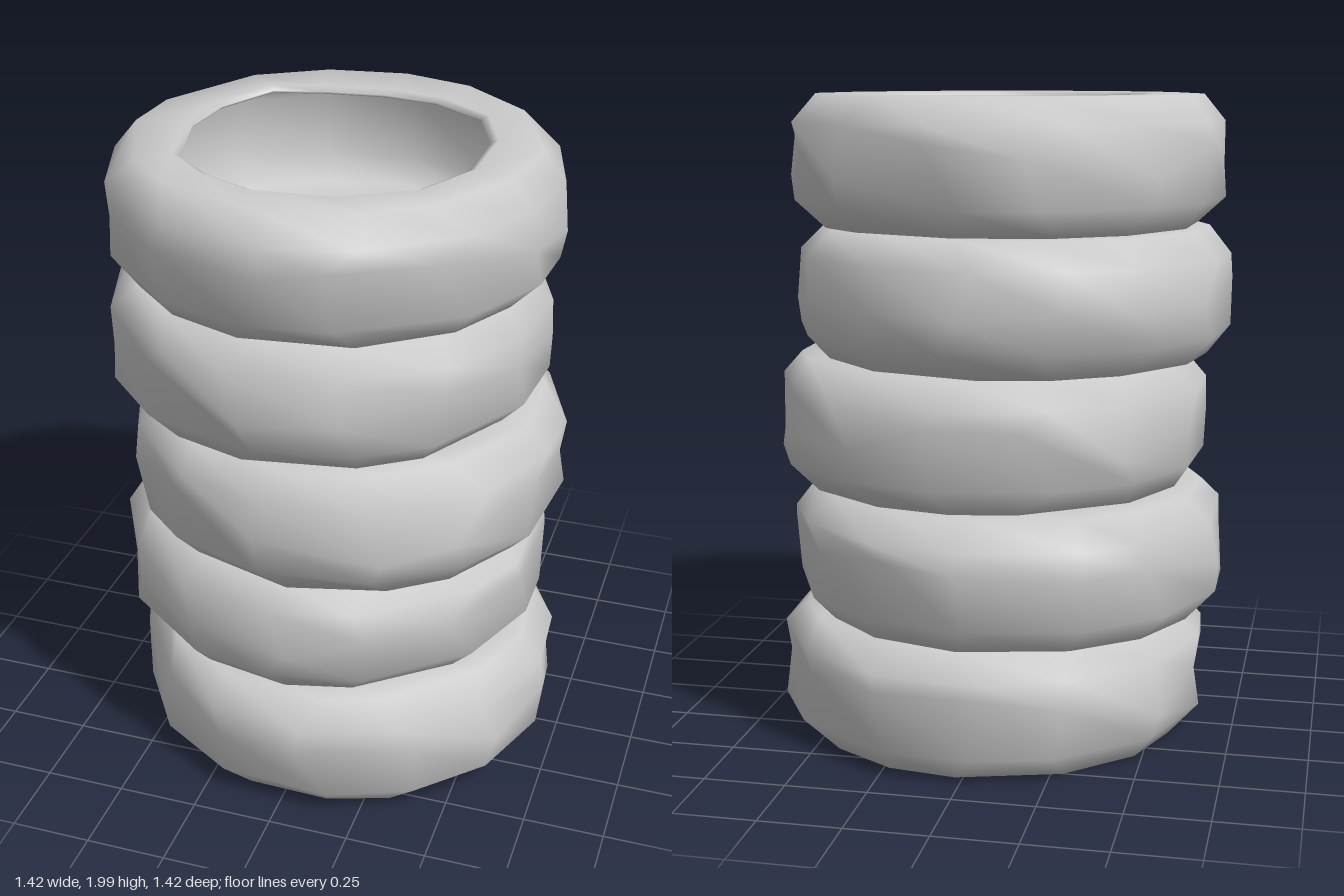
import * as THREE from 'three';
import { mergeVertices } from 'three/addons/utils/BufferGeometryUtils.js';

const SIDES = 14;

// Closed tyre section (radius, height): tread, top sidewall, hollow inside, bottom sidewall
const SECTION = [
  [0.45, 0.0], [0.605, 0.0], [0.678, 0.08], [0.684, 0.2], [0.678, 0.312], [0.608, 0.393],
  [0.455, 0.393], [0.432, 0.382], [0.445, 0.371],
  [0.585, 0.368], [0.648, 0.298], [0.648, 0.096], [0.585, 0.025],
  [0.44, 0.022], [0.425, 0.011], [0.45, 0.0],
];
const LAST_ROW = SECTION.length - 1; // closes the loop on row 0

// Each tyre in the stack: centre x, centre z, base height, turn
const STACK = [
  [0.03, 0.008, 0.01, 0.1],
  [-0.03, -0.025, 0.412, 0.9],
  [0.033, 0.02, 0.81, 1.75],
  [-0.037, 0.01, 1.209, 2.6],
  [-0.01, 0.033, 1.607, 3.5],
];

function noise(a, b, c) {
  const s = Math.sin(a * 12.9898 + b * 78.233 + c * 37.719) * 43758.5453;
  return s - Math.floor(s);
}

function tyreGeometry(seed) {
  const points = SECTION.map(([r, y]) => new THREE.Vector2(r, y));
  const geometry = new THREE.LatheGeometry(points, SIDES);
  const pos = geometry.attributes.position;
  for (let i = 0; i < pos.count; i++) {
    const side = Math.floor(i / SECTION.length) % SIDES;
    const row = (i % SECTION.length) % LAST_ROW;
    let [r, y] = SECTION[row];
    let a = (side / SIDES) * Math.PI * 2;

    if (row >= 1 && row <= 5) {
      // Worn tread: corners shifted around the tyre, the middle ones up or down as well
      r -= 0.008 * noise(side, row, seed);
      a += (noise(side, row, seed + 9) - 0.5) * 0.2;
      if (row === 3) {
        y += (noise(side, row, seed + 15) - 0.5) * 0.14;
        if (noise(side, row, seed + 20) > 0.8) r -= 0.018; // shallow dent
      }
    } else if (row <= 8 || row >= 13) {
      // Ragged bead: all corners of each lip move together
      const lip = row >= 6 && row <= 8 ? 1 : 2;
      r += (noise(side, lip, seed + 31) - 0.45) * 0.08;
      a += (noise(side, lip, seed + 40) - 0.5) * 0.2;
    }
    pos.setXYZ(i, r * Math.sin(a), y, r * Math.cos(a));
  }
  // Weld the seams so that shading runs smoothly all round
  geometry.deleteAttribute('uv');
  geometry.deleteAttribute('normal');
  const welded = mergeVertices(geometry, 1e-4);
  welded.computeVertexNormals();
  return welded;
}

export function createModel() {
  const model = new THREE.Group();
  model.name = 'tyreStack';
  const rubber = new THREE.MeshStandardMaterial({ color: 0xcccccc });

  STACK.forEach(([x, z, y, turn], i) => {
    const tyre = new THREE.Mesh(tyreGeometry(i + 1), rubber);
    tyre.name = `tyre${i + 1}`;
    tyre.position.set(x, y, z);
    tyre.rotation.y = turn;
    model.add(tyre);
  });
  return model;
}
